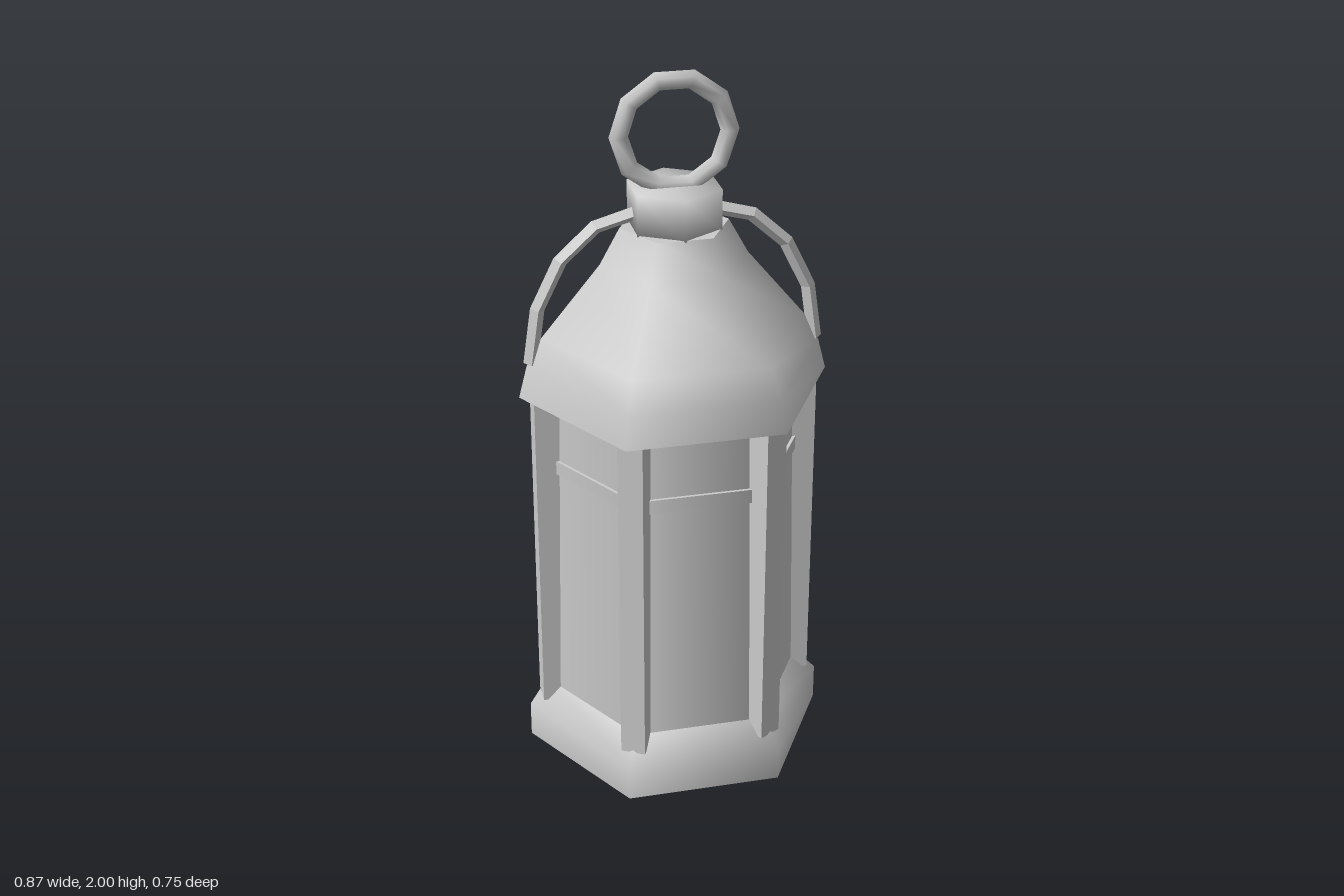
import * as THREE from 'three';

const material = new THREE.MeshStandardMaterial({ color: 0xcccccc });

function add(parent, name, geometry) {
  const mesh = new THREE.Mesh(geometry, material);
  mesh.name = name;
  parent.add(mesh);
  return mesh;
}

// Six-sided body from a [radius, height] profile, bottom to top.
// A repeated point makes a sharp edge. Turned so corners point to +x and -x.
function hexLathe(profile, turn = Math.PI / 6) {
  const points = profile.map(([r, y]) => new THREE.Vector2(r, y));
  return new THREE.LatheGeometry(points, 6).rotateY(turn);
}

export function createModel() {
  const lantern = new THREE.Group();
  lantern.name = 'lantern';

  // Base with a bevelled top
  add(lantern, 'base', hexLathe([
    [0, 0], [0.435, 0], [0.435, 0], [0.435, 0.105], [0.37, 0.175], [0.37, 0.175], [0, 0.175],
  ]));

  // Tapered glass and the thin band around it
  add(lantern, 'glass', hexLathe([[0.37, 0.17], [0.35, 1.12]]));
  add(lantern, 'glassBand', hexLathe([
    [0.34, 0.88], [0.34, 0.88], [0.364, 0.88], [0.364, 0.88],
    [0.364, 0.92], [0.364, 0.92], [0.34, 0.92],
  ]));

  // Corner posts
  const posts = new THREE.Group();
  posts.name = 'posts';
  lantern.add(posts);
  for (let i = 0; i < 6; i++) {
    const post = new THREE.BoxGeometry(0.08, 0.985, 0.07);
    post.translate(0.36, 0.6275, 0).rotateY((i * Math.PI) / 3);
    add(posts, 'post', post);
  }

  // Roof, closed underneath and on top
  add(lantern, 'roof', hexLathe([
    [0, 1.11], [0.435, 1.11], [0.435, 1.11], [0.412, 1.2], [0.37, 1.28],
    [0.205, 1.48], [0.15, 1.58], [0.15, 1.58], [0, 1.58],
  ]));

  // Cap, turned against the roof, with softly shaded rims
  add(lantern, 'cap', hexLathe([[0, 1.575], [0.133, 1.575], [0.133, 1.69], [0, 1.69]], 0));

  // Hanging ring
  const ring = add(lantern, 'ring', new THREE.TorusGeometry(0.15, 0.026, 6, 10));
  ring.position.y = 1.832;

  // Curved side handles: quarter ellipses of square rod
  for (const side of [1, -1]) {
    const points = [];
    for (let i = 0; i <= 4; i++) {
      const a = (i * Math.PI) / 8;
      points.push(new THREE.Vector3(side * (0.1 + 0.3 * Math.cos(a)), 1.21 + 0.41 * Math.sin(a), 0));
    }
    const curve = new THREE.CatmullRomCurve3(points);
    curve.getPointAt = curve.getPoint;
    const rod = new THREE.TubeGeometry(curve, 4, 0.02, 4).toNonIndexed();
    rod.computeVertexNormals();
    const handle = new THREE.Group();
    handle.name = side > 0 ? 'leftHandle' : 'rightHandle';
    lantern.add(handle);
    add(handle, 'rod', rod);

    // Small plug closing the free end
    const plug = new THREE.CircleGeometry(0.02, 4).rotateX(Math.PI / 2);
    plug.translate(side * 0.4, 1.21, 0);
    add(handle, 'rodEnd', plug);
  }

  return lantern;
}
